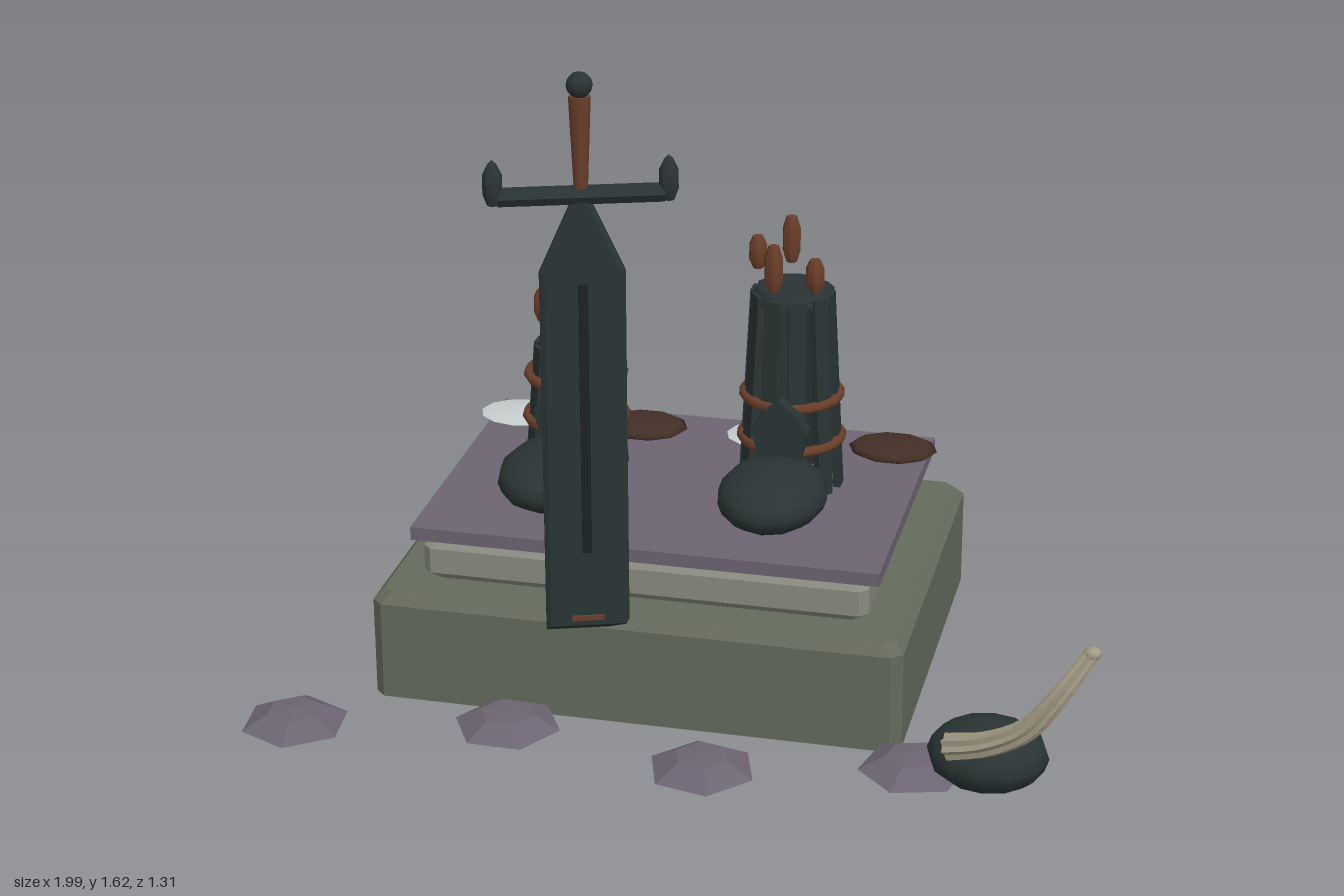
import * as THREE from 'three';
import { toCreasedNormals } from 'three/addons/utils/BufferGeometryUtils.js';

export function createModel() {
  const mat = (name, color, side = THREE.FrontSide) => {
    const m = new THREE.MeshStandardMaterial({ color, side });
    m.name = name;
    return m;
  };
  const M = {
    moss: mat('moss stone', 0x646a5b, THREE.DoubleSide),
    pale: mat('pale stone', 0x888a7e),
    slate: mat('purple slate', 0x6c6472),
    iron: mat('dark iron', 0x2a3434),
    groove: mat('blackened iron', 0x1b2223),
    copper: mat('copper', 0x6a3e2a),
    hide: mat('brown hide', 0x432f27),
    silver: mat('silver', 0xc6cecd),
    horn: mat('horn', 0xa39b85),
  };
  const root = new THREE.Group();
  const add = (parent, name, geo, material, x = 0, y = 0, z = 0) => {
    const mesh = new THREE.Mesh(geo, material);
    mesh.name = name;
    mesh.position.set(x, y, z);
    parent.add(mesh);
    return mesh;
  };
  const group = (name, x, y, z) => {
    const g = new THREE.Group();
    g.name = name;
    g.position.set(x, y, z);
    root.add(g);
    return g;
  };
  const flat = (geo) => {
    const g = geo.index ? geo.toNonIndexed() : geo;
    g.computeVertexNormals();
    return g;
  };
  const ball = (rx, ry, rz, ws = 12, hs = 8) => new THREE.SphereGeometry(1, ws, hs).scale(rx, ry, rz);
  const lathe = (pts, seg) => toCreasedNormals(
    new THREE.LatheGeometry(pts.map(([r, y]) => new THREE.Vector2(r, y)), seg), 0.6);

  // Octagonal rings stacked into a block with chamfered corners; open underneath
  const block = (hx, hz, c, levels) => {
    const rings = levels.map(([y, inset]) => {
      const a = hx - inset, b = hz - inset;
      return [[a, b - c], [a - c, b], [c - a, b], [-a, b - c], [-a, c - b], [c - a, -b], [a - c, -b], [a, c - b]]
        .map(([x, z]) => [x, y, z]);
    });
    const pos = [];
    const tri = (...p) => p.forEach((v) => pos.push(...v));
    for (let r = 0; r < rings.length - 1; r++) {
      for (let i = 0; i < 8; i++) {
        const j = (i + 1) % 8, lo = rings[r], hi = rings[r + 1];
        tri(lo[i], hi[j], lo[j]);
        tri(lo[i], hi[i], hi[j]);
      }
    }
    const top = rings[rings.length - 1];
    for (let i = 1; i < 7; i++) tri(top[0], top[i + 1], top[i]);
    // Corners run from +x to +z, so reverse for outward faces
    for (let k = 0; k < pos.length; k += 9) {
      const a = new THREE.Vector3(...pos.slice(k, k + 3));
      const b = new THREE.Vector3(...pos.slice(k + 3, k + 6));
      const d = new THREE.Vector3(...pos.slice(k + 6, k + 9));
      const n = b.clone().sub(a).cross(d.clone().sub(a));
      const centre = a.clone().add(b).add(d).divideScalar(3);
      centre.y -= (levels[0][0] + levels[levels.length - 1][0]) / 2;
      if (n.dot(centre) < 0) {
        b.toArray(pos, k + 6);
        d.toArray(pos, k + 3);
      }
    }
    const g = new THREE.BufferGeometry();
    g.setAttribute('position', new THREE.Float32BufferAttribute(pos, 3));
    g.computeVertexNormals();
    return g;
  };

  // Stepped pedestal
  add(root, 'pedestalBase', block(0.64, 0.48, 0.025, [[0.03, 0], [0.275, 0], [0.3, 0.022]]), M.moss, -0.12, 0, -0.17);
  add(root, 'pedestalStep', block(0.54, 0.38, 0.02, [[0.301, 0.022], [0.322, 0], [0.385, 0], [0.408, 0.022]]), M.pale, -0.12, 0, -0.17);
  add(root, 'pedestalTop', new THREE.BoxGeometry(1.13, 0.033, 0.8), M.slate, -0.115, 0.43, -0.17);

  // Boots with slatted shafts
  const tongueShape = new THREE.Shape();
  tongueShape.moveTo(-0.05, 0);
  tongueShape.lineTo(-0.068, 0.08);
  tongueShape.lineTo(-0.04, 0.125);
  tongueShape.lineTo(0, 0.155);
  tongueShape.lineTo(0.04, 0.125);
  tongueShape.lineTo(0.068, 0.08);
  tongueShape.lineTo(0.05, 0);
  const studSpots = [[-0.025, 0.108, 0.115], [-0.025, -0.103, 0.115], [-0.095, -0.045, 0.08], [0.07, 0.085, 0.08]];
  const boot = (name, x, height) => {
    const g = group(name, x, 0.446, -0.22);
    add(g, 'foot', ball(0.132, 0.073, 0.175), M.iron, 0, 0.07, 0.22);
    add(g, 'tongue', new THREE.ExtrudeGeometry(tongueShape, { depth: 0.04, bevelEnabled: false }), M.iron, 0, 0.12, 0.11);
    const low = 0.118, high = 0.09, n = 10;
    for (let i = 0; i < n; i++) {
      const arm = new THREE.Group();
      arm.name = 'stave';
      arm.rotation.y = ((i + 0.5) / n) * Math.PI * 2;
      g.add(arm);
      const slat = add(arm, 'staveSlat', new THREE.BoxGeometry(0.042, height - 0.02, 0.018), M.iron, 0, height / 2, (low + high) / 2);
      slat.rotation.x = -Math.atan((low - high) / height);
    }
    add(g, 'shaftCap', lathe([[0, height - 0.03], [0.098, height - 0.03], [0.098, height - 0.02], [0.085, height], [0, height]], 14), M.iron);
    [[0.135, 0.121], [0.245, 0.116]].forEach(([y, r]) => {
      add(g, 'strap', new THREE.TorusGeometry(r, 0.013, 6, 18).rotateX(Math.PI / 2), M.copper, 0, y, 0);
    });
    studSpots.forEach(([sx, sz, h]) => {
      const r = 0.022;
      add(g, 'stud', lathe([[0, 0], [r * 0.6, 0], [r, h * 0.25], [r, h * 0.75], [r * 0.6, h], [0, h]], 8), M.copper, sx, height + 0.023, sz);
    });
  };
  boot('leftBoot', 0.15, 0.517);
  boot('rightBoot', -0.39, 0.333);

  // Row of oval offerings along the back
  [-0.605, -0.28, 0.04, 0.36].forEach((x, i) => {
    if (i % 2) {
      add(root, 'hideCushion', ball(0.112, 0.018, 0.09, 10, 6), M.hide, x, 0.455, -0.465);
    } else {
      const profile = [[0, 0], [0.08, 0], [0.105, 0.013], [0.09, 0.016], [0.045, 0.021], [0, 0.023]];
      add(root, 'silverDish', lathe(profile, 12).scale(1, 1, 0.82), M.silver, x, 0.446, -0.465);
    }
  });

  // Sword standing point up against the front edge
  const sword = group('sword', -0.222, 0, 0.317);
  sword.rotation.y = 0.33;
  const bladeShape = new THREE.Shape();
  [[-0.086, 0.29], [0.086, 0.29], [0.086, 1.165], [0.012, 1.33], [-0.012, 1.33], [-0.086, 1.165]]
    .forEach(([x, y], i) => (i ? bladeShape.lineTo(x, y) : bladeShape.moveTo(x, y)));
  const bladeGeo = new THREE.ExtrudeGeometry(bladeShape, {
    depth: 0.01, bevelEnabled: true, bevelSize: 0.011, bevelThickness: 0.009, bevelSegments: 1,
  });
  add(sword, 'blade', bladeGeo, M.iron, 0, 0, -0.005);
  add(sword, 'fuller', new THREE.BoxGeometry(0.022, 0.66, 0.009), M.groove, 0, 0.81, 0.0185);
  add(sword, 'bladeMark', new THREE.BoxGeometry(0.075, 0.012, 0.006), M.copper, 0, 0.31, 0.0165);
  add(sword, 'crossGuard', flat(new THREE.CylinderGeometry(0.022, 0.022, 0.37, 6).rotateZ(Math.PI / 2)), M.iron, 0, 1.347, 0);
  for (const s of [-1, 1]) {
    add(sword, 'guardTip', lathe([[0, 1.325], [0.013, 1.33], [0.022, 1.355], [0.022, 1.4], [0.01, 1.425], [0, 1.435]], 8), M.iron, s * 0.195, 0, 0);
  }
  add(sword, 'grip', new THREE.CylinderGeometry(0.025, 0.016, 0.21, 8), M.copper, 0, 1.47, 0);
  add(sword, 'pommel', ball(0.03, 0.03, 0.03, 10, 6), M.iron, 0, 1.6, 0);

  // Faceted rocks along the front
  [[-0.88, 0.53, 0.1], [-0.39, 0.43, 0.5], [0.1, 0.53, 0.3], [0.57, 0.42, 0.8]].forEach(([x, z, turn]) => {
    const profile = [[0, 0.005], [0.128, 0.06], [0.065, 0.093], [0, 0.098]].map(([r, y]) => new THREE.Vector2(r, y));
    const rock = add(root, 'rock', flat(new THREE.LatheGeometry(profile, 6)), M.slate, x, 0, z);
    rock.rotation.y = turn;
  });

  // Fallen helmet with one fluted horn
  add(root, 'helmet', ball(0.14, 0.08, 0.122), M.iron, 0.74, 0.12, 0.42);
  const path = new THREE.CatmullRomCurve3([
    [0.66, 0.165, 0.49], [0.745, 0.2, 0.525], [0.84, 0.265, 0.555], [0.91, 0.36, 0.56], [0.975, 0.46, 0.535],
  ].map((p) => new THREE.Vector3(...p)));
  const rows = 14, sides = 16;
  const horn = new THREE.TubeGeometry(path, rows, 1, sides, false);
  const p = horn.attributes.position, v = new THREE.Vector3();
  for (let i = 0; i < p.count; i++) {
    const t = Math.floor(i / (sides + 1)) / rows;
    const c = path.getPointAt(t);
    const r = (0.032 - 0.014 * t) * (i % (sides + 1) % 2 ? 0.82 : 1.05);
    v.fromBufferAttribute(p, i).sub(c).multiplyScalar(r).add(c);
    p.setXYZ(i, v.x, v.y, v.z);
  }
  add(root, 'horn', flat(horn), M.horn);
  add(root, 'hornTip', ball(0.02, 0.015, 0.02, 8, 6), M.horn, 0.975, 0.46, 0.535);

  return root;
}
